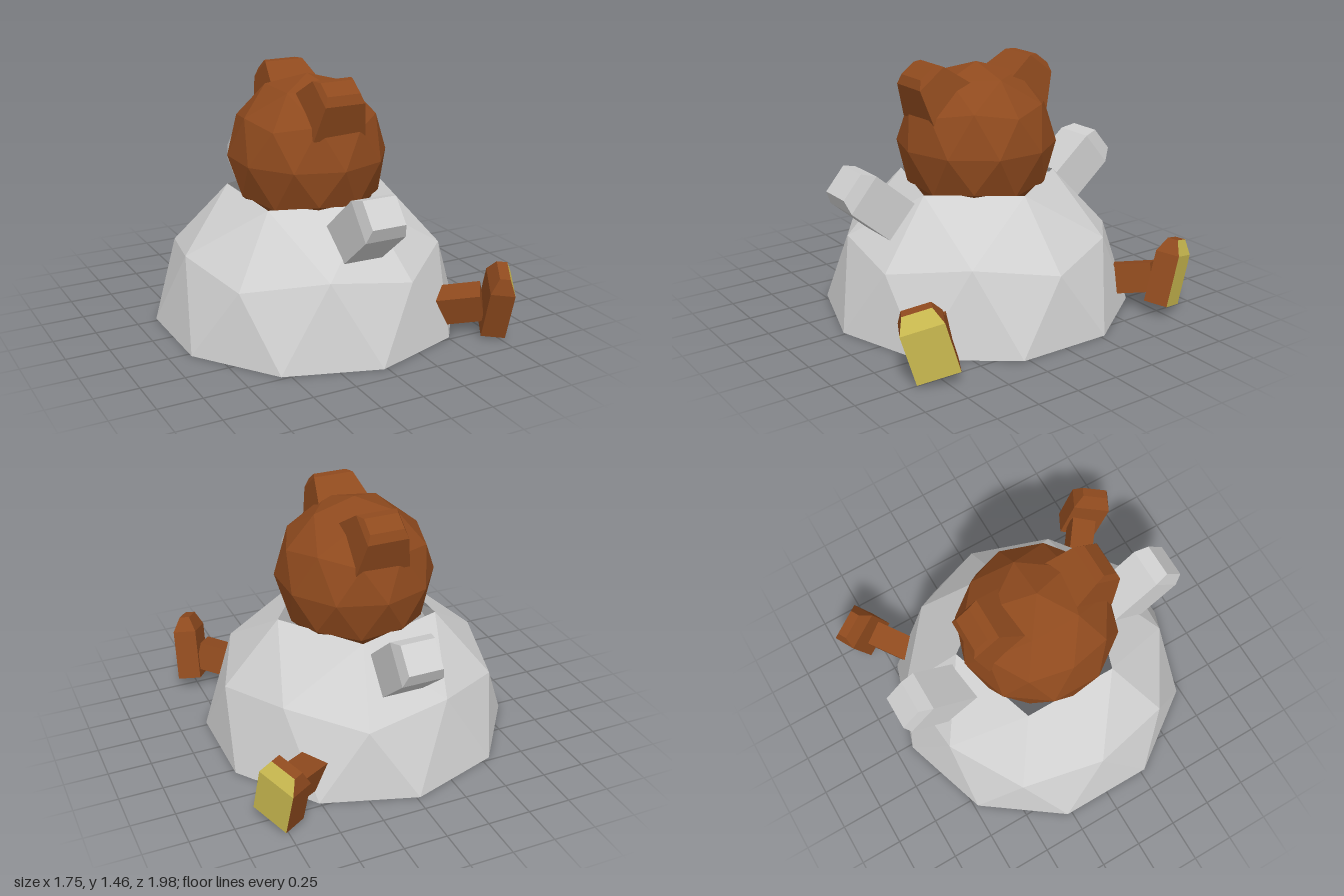
import * as THREE from 'three';
import { mergeGeometries } from 'three/addons/utils/BufferGeometryUtils.js';

const V = (x, y, z) => new THREE.Vector3(x, y, z);

function fromTriangles(points) {
  const g = new THREE.BufferGeometry().setFromPoints(points);
  g.computeVertexNormals();
  return g;
}

// Upper half of a once-subdivided icosahedron, with or without the polar cap
function dome(r, capped) {
  const at = (lat, deg) => {
    const p = lat * Math.PI / 180, a = deg * Math.PI / 180;
    return V(r * Math.cos(p) * Math.cos(a), r * Math.sin(p), r * Math.cos(p) * Math.sin(a));
  };
  const A = k => at(58.28, k * 72);
  const M = i => at(i % 2 ? 31.72 : 26.57, i * 36);
  const D = i => at(0, 18 + i * 36);
  const t = [];
  for (let k = 0; k < 5; k++) {
    const c = M(2 * k + 1);
    t.push(A(k), c, M(2 * k), A(k), A(k + 1), c, A(k + 1), M(2 * k + 2), c);
    if (capped) t.push(V(0, r, 0), A(k + 1), A(k));
  }
  for (let i = 0; i < 10; i++) t.push(M(i), D(i), D(i - 1), M(i), M(i + 1), D(i));
  return fromTriangles(t);
}

// Four-sided block along axis c; each section is [distance, half width on a, half width on b]
function block(origin, c, a, sections) {
  c = c.clone().normalize();
  a = a.clone().addScaledVector(c, -a.dot(c)).normalize();
  const b = c.clone().cross(a);
  const rings = sections.map(([t, ha, hb]) => [[-1, -1], [1, -1], [1, 1], [-1, 1]].map(([i, j]) =>
    origin.clone().addScaledVector(c, t).addScaledVector(a, i * ha).addScaledVector(b, j * hb)));
  const quad = (p, q, r, s) => [p, q, r, p, r, s];
  const rest = [], face = []; // face = the side towards +a
  for (let s = 0; s + 1 < rings.length; s++) {
    for (let i = 0; i < 4; i++) {
      const j = (i + 1) % 4, lo = rings[s], hi = rings[s + 1];
      (i === 1 ? face : rest).push(...quad(lo[i], lo[j], hi[j], hi[i]));
    }
  }
  const first = rings[0], last = rings[rings.length - 1];
  rest.push(...quad(...last), ...quad(first[3], first[2], first[1], first[0]));
  const g = fromTriangles([...rest, ...face]);
  g.addGroup(0, rest.length, 0);
  g.addGroup(rest.length, face.length, 1);
  return g;
}

// Mirror copy across z = 0 with the corner order restored
function mirrorZ(geo) {
  const g = geo.clone(), p = g.attributes.position;
  for (let i = 0; i < p.count; i += 3) {
    const [q, r, s] = [0, 1, 2].map(k => V().fromBufferAttribute(p, i + k));
    [q, s, r].forEach((v, k) => p.setXYZ(i + k, v.x, v.y, -v.z));
  }
  g.computeVertexNormals();
  return g;
}

export function createModel() {
  const model = new THREE.Group();
  const material = (name, color, extra = {}) => {
    const m = new THREE.MeshStandardMaterial({ color, flatShading: true, ...extra });
    m.name = name;
    return m;
  };
  const grey = material('light grey', 0xd0d0d0, { side: THREE.DoubleSide });
  const brown = material('brown', 0x8f4a1e);
  const yellow = material('yellow', 0xd2c153);

  const add = (name, geo, mat) => {
    const mesh = new THREE.Mesh(geo, mat);
    mesh.name = name;
    model.add(mesh);
    return mesh;
  };
  const addPair = (name, geo, mat) => {
    add(name + 'A', geo, mat);
    add(name + 'B', mirrorZ(geo), mat);
  };

  // Hollow body, open at the base and the neck
  add('body', dome(0.9, false), grey).position.set(-0.02, 0, 0);

  // Faceted round head
  const head = mergeGeometries([dome(0.46, true), dome(0.46, true).rotateZ(Math.PI)]);
  add('head', head, brown).position.set(-0.02, 0.98, 0);

  // Ears
  const X = V(1, 0, 0);
  addPair('ear', block(V(-0.02, 0.327, -0.436), V(0, 0.8, 0.6), X,
    [[1.15, 0.16, 0.165], [1.345, 0.12, 0.096], [1.378, 0.1, 0.05]]), [brown, brown]);

  // Arms
  addPair('arm', block(V(-0.02, 0.0825, -0.07), V(0, 0.645, 0.764), X,
    [[0.72, 0.12, 0.122], [1.148, 0.12, 0.122], [1.225, 0.1, 0.084]]), [grey, grey]);

  // Legs
  const start = V(0.48, 0.15, 0.6), dir = V(0.7, 0.2, 0.765).sub(start);
  addPair('leg', block(start, dir, V(0.465, 0.21, -0.86),
    [[0, 0.075, 0.085], [dir.length(), 0.075, 0.085]]), [brown, brown]);

  // Feet with yellow soles
  addPair('foot', block(V(0.761, 0.052, 0.773), V(-0.04, 0.955, 0.295), V(0.883, -0.1, 0.452),
    [[0, 0.069, 0.118], [0.3, 0.069, 0.118], [0.385, 0.03, 0.08]]), [brown, yellow]);

  return model;
}
